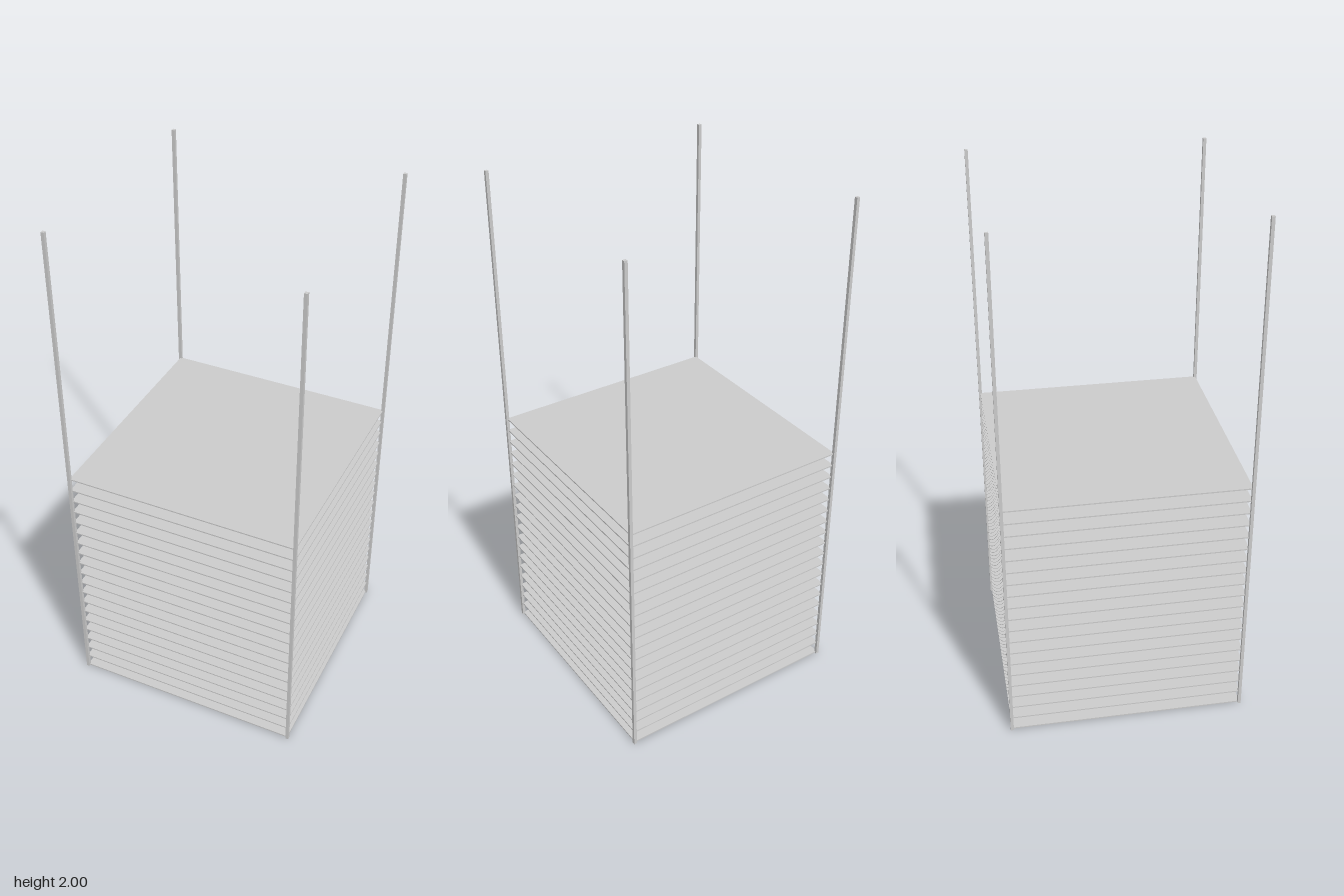
import * as THREE from 'three';

export function createModel() {
  const model = new THREE.Group();
  const material = new THREE.MeshStandardMaterial({ color: 0xcccccc, flatShading: true });
  const half = 0.449;      // post centre lines and plate edges
  const postWidth = 0.012;
  const plateCount = 20;
  const plateThickness = 0.005;
  const plateSpacing = 0.052;

  function addBox(name, size, position) {
    const mesh = new THREE.Mesh(new THREE.BoxGeometry(...size), material);
    mesh.name = name;
    mesh.position.set(...position);
    model.add(mesh);
  }

  // Four slim square corner posts
  for (const x of [-half, half])
    for (const z of [-half, half])
      addBox('cornerPost', [postWidth, 2, postWidth], [x, 1, z]);

  // Evenly spaced thin plates filling the lower half
  for (let i = 0; i < plateCount; i++)
    addBox('plate', [2 * half, plateThickness, 2 * half], [0, 0.005 + i * plateSpacing, 0]);

  return model;
}
